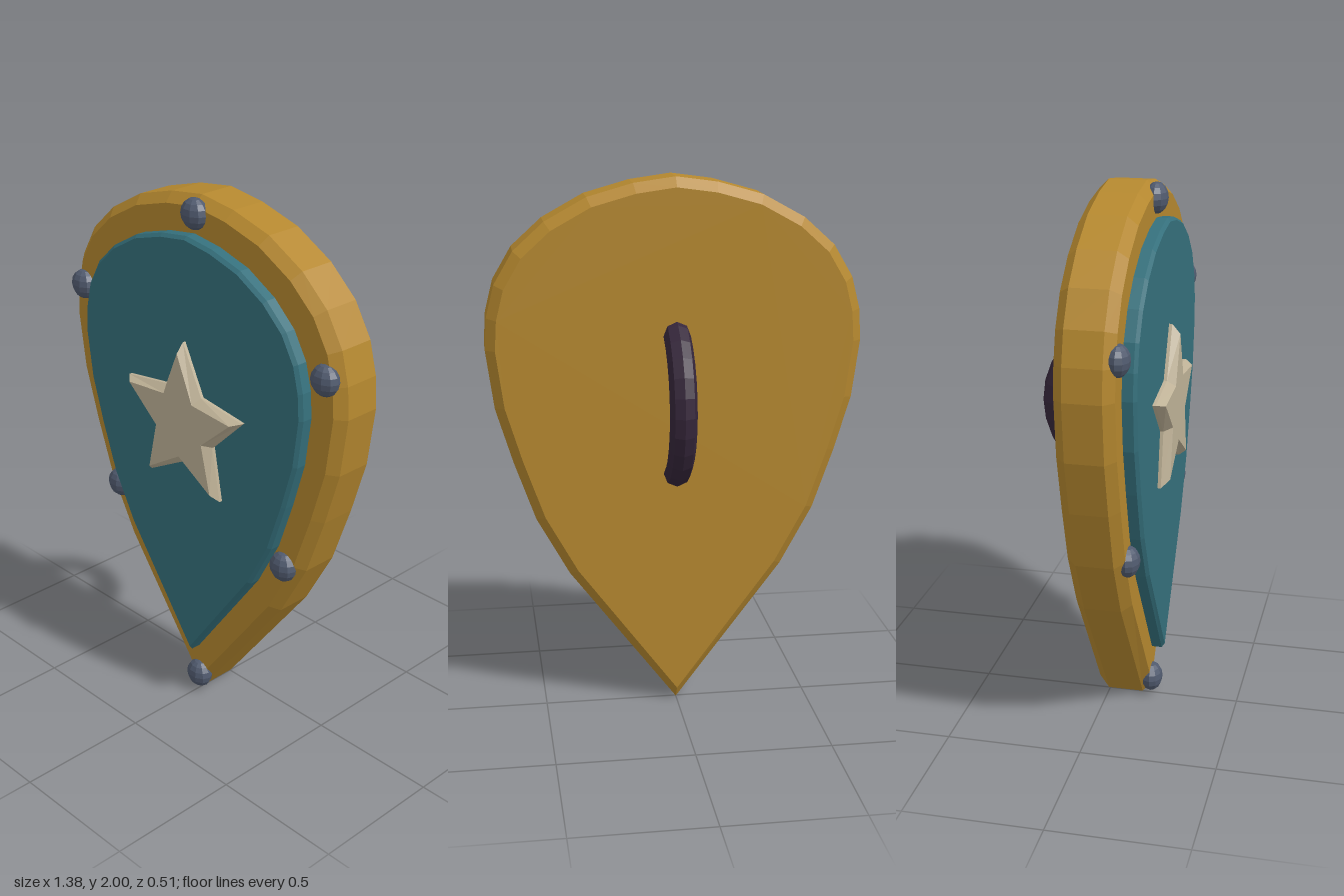
import * as THREE from 'three';

const mat = (name, color) => {
  const m = new THREE.MeshStandardMaterial({ color, flatShading: true });
  m.name = name;
  return m;
};

// Right half of the teardrop outline, from the top to just above the tip
const HALF = [
  [0.145, 1.945], [0.305, 1.9], [0.45, 1.82], [0.555, 1.725], [0.62, 1.615], [0.648, 1.505],
  [0.655, 1.395], [0.627, 1.185], [0.567, 0.985], [0.49, 0.765], [0.372, 0.55],
];

function teardrop(sx, sy, dy) {
  const left = HALF.map(([x, y]) => [-x, y]);
  const loop = [[0, 0.05], ...[...HALF].reverse(), [0, 1.965], ...left];
  return new THREE.Shape(loop.map(([x, y]) => new THREE.Vector2(x * sx, y * sy + dy)));
}

function star(outer, inner) {
  const pts = [];
  for (let i = 0; i < 10; i++) {
    const r = i % 2 ? inner : outer;
    const a = Math.PI / 2 + (i * Math.PI) / 5;
    pts.push(new THREE.Vector2(r * Math.cos(a), r * Math.sin(a)));
  }
  return new THREE.Shape(pts);
}

// Plate with a single chamfer, spanning z0 to z1
function plate(shape, z0, z1, bevelSize, bevelThickness) {
  const g = new THREE.ExtrudeGeometry(shape, {
    depth: z1 - z0 - 2 * bevelThickness, bevelEnabled: true, bevelSegments: 1, bevelSize, bevelThickness,
  });
  return g.translate(0, 0, z0 + bevelThickness);
}

export function createModel() {
  const group = new THREE.Group();
  group.name = 'shield';
  const gold = mat('gold', 0xb5882f);
  const teal = mat('teal', 0x35707c);
  const ivory = mat('ivory', 0xbfb297);
  const steel = mat('steel', 0x505a6e);
  const leather = mat('dark leather', 0x35263a);

  const add = (name, geometry, material) => {
    const mesh = new THREE.Mesh(geometry, material);
    mesh.name = name;
    group.add(mesh);
    return mesh;
  };

  // Body and raised front panel
  add('body', plate(teardrop(1, 1, 0), -0.04, 0.165, 0.035, 0.035), gold);
  add('frontPanel', plate(teardrop(0.835, 0.857, 0.174), 0.13, 0.215, 0.012, 0.012), teal);

  // Star emblem, its lower half sunk in the panel
  add('starEmblem', plate(star(0.275, 0.125), 0.185, 0.257, 0.025, 0.03), ivory).position.y = 1.18;

  // Domed rivets around the rim
  const rivet = new THREE.SphereGeometry(0.056, 10, 8);
  const spots = [[0, 1.94], [0, 0.072]];
  for (const s of [-1, 1]) spots.push([s * 0.615, 1.525], [s * 0.443, 0.75]);
  for (const [x, y] of spots) {
    const m = add('rivet', rivet, steel);
    m.position.set(x, y, 0.165);
    m.scale.z = 0.75;
  }

  // Grip on the back, its ends buried in the body
  const grip = new THREE.TorusGeometry(0.285, 0.05, 8, 14, Math.PI);
  grip.rotateZ(Math.PI / 2).rotateY(-Math.PI / 2);
  add('grip', grip, leather).position.set(0, 1.175, 0.08);

  return group;
}
